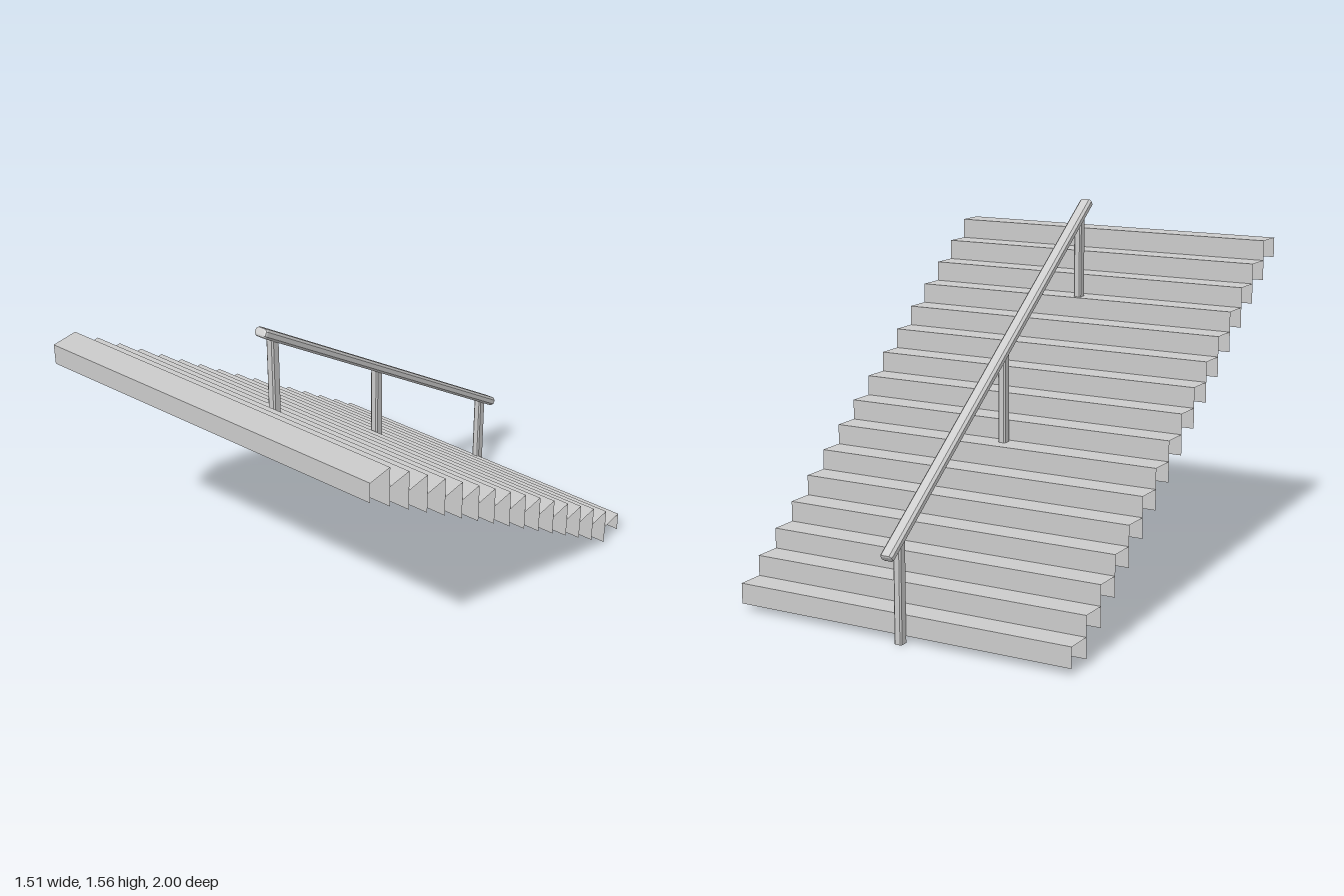
import * as THREE from 'three';

const material = new THREE.MeshStandardMaterial({ color: 0xcccccc, side: THREE.DoubleSide, flatShading: true });

const STEPS = 16, WIDTH = 1.51;
const Z0 = -0.885, Y0 = 0.028;
const RUN = (1 - Z0) / STEPS, RISE = (1.4 - Y0) / STEPS;
const RAIL_X = -0.017, RAIL_Y = 0.958, RAIL_Z = -0.173, RAIL_ANGLE = Math.atan2(1.185, 1.63);

// Bar along z with chamfered long edges, centred on the origin
function bar(w, h, length, chamfer, bevel) {
  const x = w / 2 - bevel, y = h / 2 - bevel, c = chamfer;
  const shape = new THREE.Shape([
    [x, -y + c], [x, y - c], [x - c, y], [-x + c, y],
    [-x, y - c], [-x, -y + c], [-x + c, -y], [x - c, -y],
  ].map(([a, b]) => new THREE.Vector2(a, b)));
  const geometry = new THREE.ExtrudeGeometry(shape, {
    depth: length - 2 * bevel,
    bevelEnabled: bevel > 0, bevelSize: bevel, bevelThickness: bevel, bevelSegments: 2,
  });
  return geometry.center();
}

function addMesh(parent, name, geometry, x, y, z) {
  const mesh = new THREE.Mesh(geometry, material);
  mesh.name = name;
  mesh.position.set(x, y, z);
  parent.add(mesh);
  return mesh;
}

export function createModel() {
  const model = new THREE.Group();
  model.name = 'staircase';

  // Steps: thin tread, riser on the climbing side, flap hanging from the back edge
  const treadGeometry = new THREE.PlaneGeometry(WIDTH, RUN).rotateX(-Math.PI / 2);
  const riserGeometry = new THREE.PlaneGeometry(WIDTH, RISE).rotateY(Math.PI);
  const flapGeometry = new THREE.PlaneGeometry(WIDTH, RISE);
  for (let i = 0; i < STEPS; i++) {
    const step = new THREE.Group();
    step.name = 'step' + (i + 1);
    step.position.set(0, Y0 + (i + 1) * RISE, Z0 + i * RUN);
    addMesh(step, 'tread', treadGeometry, 0, 0, RUN / 2);
    addMesh(step, 'riser', riserGeometry, 0, -RISE / 2, 0);
    addMesh(step, 'backFlap', flapGeometry, 0, -RISE / 2, RUN);
    model.add(step);
  }

  // Sloping handrail with softened ends
  const rail = addMesh(model, 'handrail', bar(0.056, 0.038, 2.02, 0.004, 0.01), RAIL_X, RAIL_Y, RAIL_Z);
  rail.rotation.x = -RAIL_ANGLE;

  // Posts reaching up into the rail
  const posts = [['lowerPost', -0.9, 0], ['middlePost', -0.094, 0.61], ['upperPost', 0.574, 1.09]];
  for (const [name, z, base] of posts) {
    const top = RAIL_Y + (z - RAIL_Z) * Math.tan(RAIL_ANGLE);
    const geometry = bar(0.034, 0.042, top - base, 0.006, 0).rotateX(-Math.PI / 2);
    addMesh(model, name, geometry, RAIL_X, (top + base) / 2, z);
  }

  return model;
}
